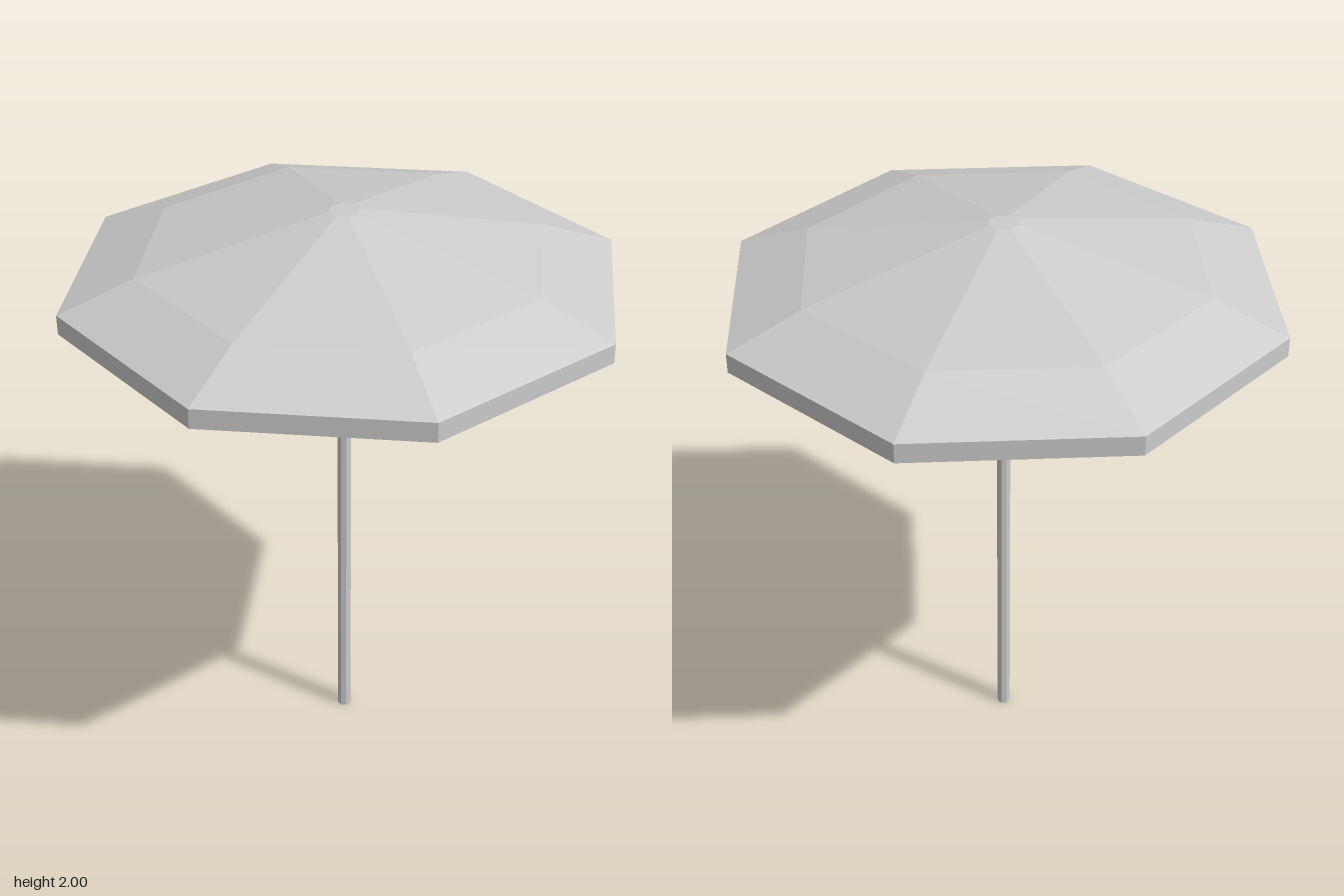
import * as THREE from 'three';

const SIDES = 8;

// Give every facet its own normal
function faceted(geometry) {
  const flat = geometry.toNonIndexed();
  flat.computeVertexNormals();
  return flat;
}

export function createModel() {
  const group = new THREE.Group();
  group.name = 'parasol';

  const grey = new THREE.MeshStandardMaterial({ color: 0xcccccc });
  grey.name = 'light grey';

  // Canopy shell: underside from the centre out, around the rim, back up to the crown
  const profile = [
    [0, 1.98], [0.045, 1.98], [0.665, 1.84], [0.895, 1.757], [0.895, 1.705],
    [0.92, 1.705], [0.92, 1.77], [0.675, 1.86], [0.05, 2], [0, 2],
  ].map(([r, y]) => new THREE.Vector2(r, y));
  const canopy = new THREE.Mesh(faceted(new THREE.LatheGeometry(profile, SIDES)), grey);
  canopy.name = 'canopy';
  group.add(canopy);

  // Pole from the ground to the underside of the crown
  const height = 1.985;
  const pole = new THREE.Mesh(
    faceted(new THREE.CylinderGeometry(0.024, 0.024, height, SIDES)), grey);
  pole.name = 'pole';
  pole.position.y = height / 2;
  group.add(pole);

  return group;
}
